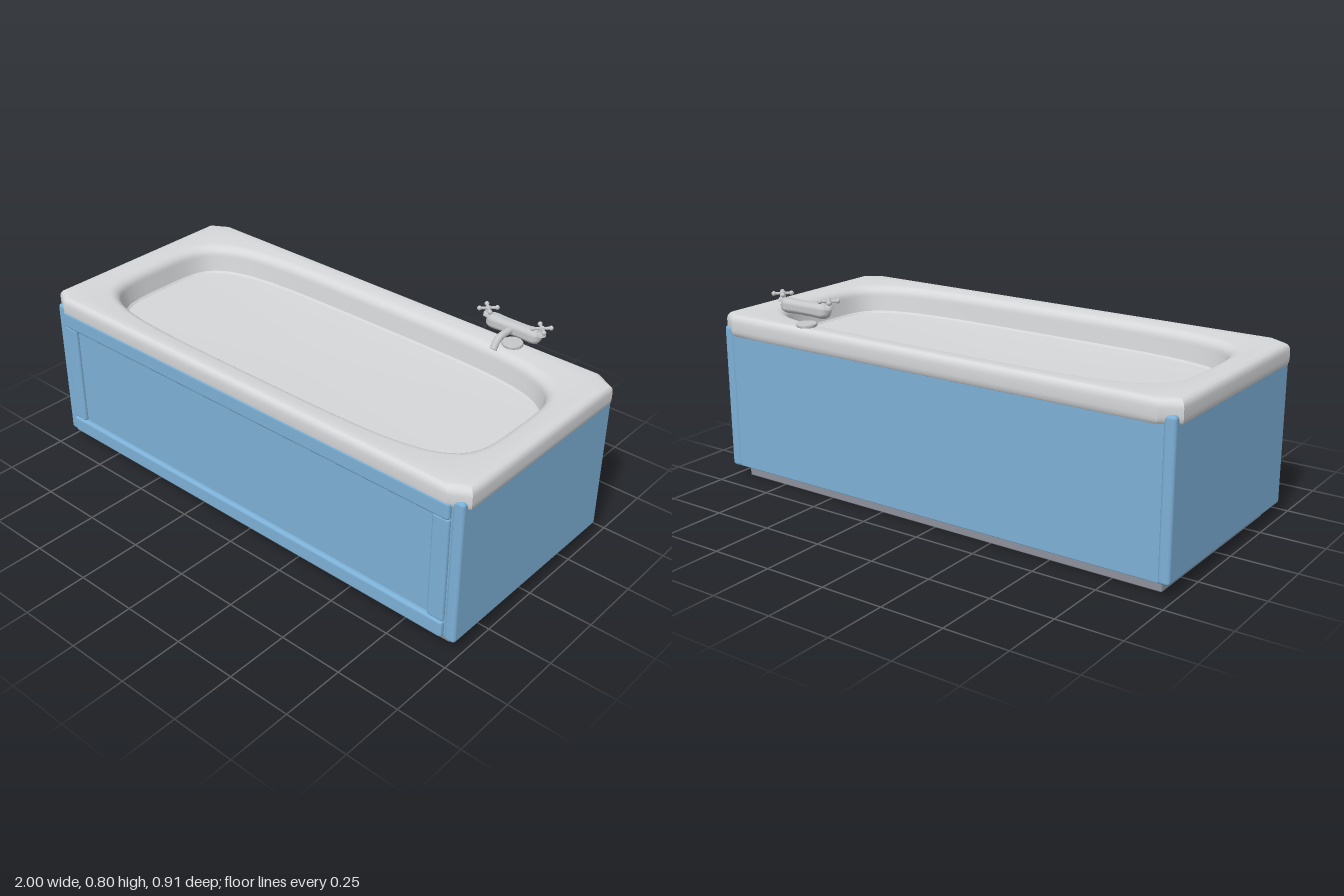
import * as THREE from 'three';
import { toCreasedNormals } from 'three/addons/utils/BufferGeometryUtils.js';
import { RoundedBoxGeometry } from 'three/addons/geometries/RoundedBoxGeometry.js';

const mat = (name, color) => {
  const m = new THREE.MeshStandardMaterial({ color });
  m.name = name;
  return m;
};

// Angles sampled in one quadrant; 42.3 and 47.08 are the corners of the chamfered outline
const QUADRANT = [0, 10, 20, 28, 34, 38, 42.303, 44.7, 47.077, 51, 56, 62, 70, 80];
const MIRRORED = [0, 10, 20, 28, 34, 39, 42.923, 45.3, 47.697, 52, 56, 62, 70, 80];
const ANGLES = [0, 1, 2, 3].flatMap(q =>
  (q % 2 ? MIRRORED : QUADRANT).map(a => THREE.MathUtils.degToRad(a + q * 90)));

// Radius of a unit outline: chamfered rectangle when power is 0, otherwise a superellipse
function outline(a, power) {
  const c = Math.abs(Math.cos(a)), s = Math.abs(Math.sin(a));
  if (power) return Math.pow(c ** power + s ** power, -1 / power);
  return Math.min(1 / Math.max(c, s), 0.1537 / (0.09 * c + 0.07 * s));
}

// Joins rings of [halfX, halfZ, y, power] into one skin
function loft(rings, crease) {
  const pts = rings.map(([hx, hz, y, p]) => ANGLES.map(a => {
    const r = outline(a, p);
    return [hx * r * Math.cos(a), y, hz * r * Math.sin(a)];
  }));
  const pos = [], n = ANGLES.length;
  for (let k = 0; k < rings.length - 1; k++) {
    for (let i = 0; i < n; i++) {
      const j = (i + 1) % n;
      const [a, b, c, d] = [pts[k][i], pts[k + 1][i], pts[k + 1][j], pts[k][j]];
      if (rings[k + 1][0] > 0) pos.push(...a, ...b, ...c, ...a, ...c, ...d);
      else pos.push(...a, ...b, ...d);
    }
  }
  const g = new THREE.BufferGeometry();
  g.setAttribute('position', new THREE.Float32BufferAttribute(pos, 3));
  return toCreasedNormals(g, crease);
}

export function createModel() {
  const model = new THREE.Group();
  model.name = 'bathtub';
  const enamel = mat('white enamel', 0xd6d7d9);
  const blue = mat('blue panel', 0x7db0d6);
  const plinthGrey = mat('plinth grey', 0x8f919c);
  const metal = mat('tap metal', 0xc6c7c9);

  const add = (parent, name, geometry, material, x = 0, y = 0, z = 0) => {
    const m = new THREE.Mesh(geometry, material);
    m.name = name;
    m.position.set(x, y, z);
    parent.add(m);
    return m;
  };
  const lathe = (points, segments) =>
    toCreasedNormals(new THREE.LatheGeometry(points.map(p => new THREE.Vector2(...p)), segments), 0.8);
  const slab = (name, material, x0, x1, y0, y1, z0, z1, r) =>
    add(model, name, new RoundedBoxGeometry(x1 - x0, y1 - y0, z1 - z0, 3, r), material,
      (x0 + x1) / 2, (y0 + y1) / 2, (z0 + z1) / 2);

  // Tub: underside lip, rounded outer edge, sloping rim, soft inner lip, wall and shallow floor
  const rings = [[0.94, 0.395, 0.597, 0], [0.985, 0.438, 0.593, 0], [0.994, 0.447, 0.597, 0],
    [0.999, 0.452, 0.606, 0], [1, 0.454, 0.62, 0], [1, 0.454, 0.65, 0]];
  for (let i = 1; i <= 5; i++) {
    const t = i / 5 * Math.PI / 2, d = 0.025 * (1 - Math.cos(t));
    rings.push([1 - d, 0.454 - d * 0.8, 0.65 + 0.03 * Math.sin(t), 0]);
  }
  rings.push([0.945, 0.405, 0.678, 9]);
  for (let i = 0; i <= 6; i++) {
    const t = i / 6 * Math.PI / 2;
    rings.push([0.92 - 0.043 * Math.sin(t), 0.385 - 0.037 * Math.sin(t), 0.635 + 0.04 * Math.cos(t), 4.5]);
  }
  rings.push([0.865, 0.34, 0.575, 4.5], [0.858, 0.334, 0.567, 4.5], [0, 0, 0.55, 4.5]);
  add(model, 'tub', loft(rings, 0.48), enamel);

  // Plinth
  slab('plinth', plinthGrey, -0.94, 0.94, 0, 0.07, -0.395, 0.395, 0.006);

  // Front and back panels
  slab('frontPanel', blue, -0.95, 0.95, 0.062, 0.61, 0.385, 0.438, 0.004);
  slab('backPanel', blue, -0.95, 0.95, 0.052, 0.62, -0.437, -0.385, 0.004);

  // End panels and front frame
  for (const [s, side] of [[1, 'left'], [-1, 'right']]) {
    const ends = (a, b) => s > 0 ? [a, b] : [-b, -a];
    slab(side + 'EndPanel', blue, ...ends(0.943, 0.988), 0.05, 0.631, -0.443, 0.441, 0.014);
    slab(side + 'FrameStile', blue, ...ends(0.875, 0.943), 0.13, 0.555, 0.43, 0.452, 0.01);
  }
  slab('topFrameRail', blue, -0.943, 0.943, 0.55, 0.62, 0.425, 0.456, 0.012);
  slab('bottomFrameRail', blue, -0.943, 0.943, 0.062, 0.132, 0.425, 0.456, 0.012);

  // Mixer tap
  const tap = new THREE.Group();
  tap.name = 'tap';
  tap.position.set(0.58, 0, -0.408);
  model.add(tap);

  const flange = [[0, 0], [0.038, 0], [0.04, 0.004], [0.04, 0.009], [0.037, 0.013], [0, 0.013]];
  add(tap, 'tapFlange', lathe(flange, 24), metal, 0, 0.68, 0);

  const body = [[0, -0.115], [0.014, -0.113], [0.024, -0.106], [0.029, -0.094], [0.03, -0.08], [0.028, -0.04],
    [0.028, 0.04], [0.03, 0.08], [0.029, 0.094], [0.024, 0.106], [0.014, 0.113], [0, 0.115]];
  add(tap, 'tapBody', lathe(body, 20), metal, 0, 0.75, 0).rotation.z = Math.PI / 2;

  // Spout with its end cap
  const path = new THREE.CatmullRomCurve3([[0.015, 0.752], [0.055, 0.752], [0.088, 0.75], [0.107, 0.739],
    [0.126, 0.715]].map(([z, y]) => new THREE.Vector3(0, y, z)));
  add(tap, 'spout', new THREE.TubeGeometry(path, 20, 0.0135, 14), metal);
  const cap = add(tap, 'spoutEnd', new THREE.CircleGeometry(0.0135, 14), metal, 0, 0.715, 0.126);
  cap.quaternion.setFromUnitVectors(new THREE.Vector3(0, 0, 1), path.getTangent(1));

  // Cross handles on flared collars
  const collar = [[0.022, -0.03], [0.02, -0.018], [0.014, -0.013], [0.014, -0.009], [0.011, 0.006], [0, 0.009]];
  for (const [s, side] of [[1, 'left'], [-1, 'right']]) {
    const handle = new THREE.Group();
    handle.name = side + 'TapHandle';
    handle.position.set(s * 0.116, 0.791, 0);
    tap.add(handle);
    add(handle, 'handleCollar', lathe(collar.map(([r, y]) => [r * 0.8, y]), 16), metal);
    for (let i = 0; i < 4; i++) {
      const a = Math.PI / 4 + i * Math.PI / 2, c = Math.cos(a), n = Math.sin(a);
      const arm = add(handle, 'handleArm', new THREE.CylinderGeometry(0.006, 0.005, 0.034, 8),
        metal, c * 0.017, 0, n * 0.017);
      arm.quaternion.setFromUnitVectors(new THREE.Vector3(0, 1, 0), new THREE.Vector3(c, 0, n));
      add(handle, 'handleKnob', new THREE.SphereGeometry(0.009, 10, 8), metal, c * 0.033, 0, n * 0.033);
    }
  }
  return model;
}
